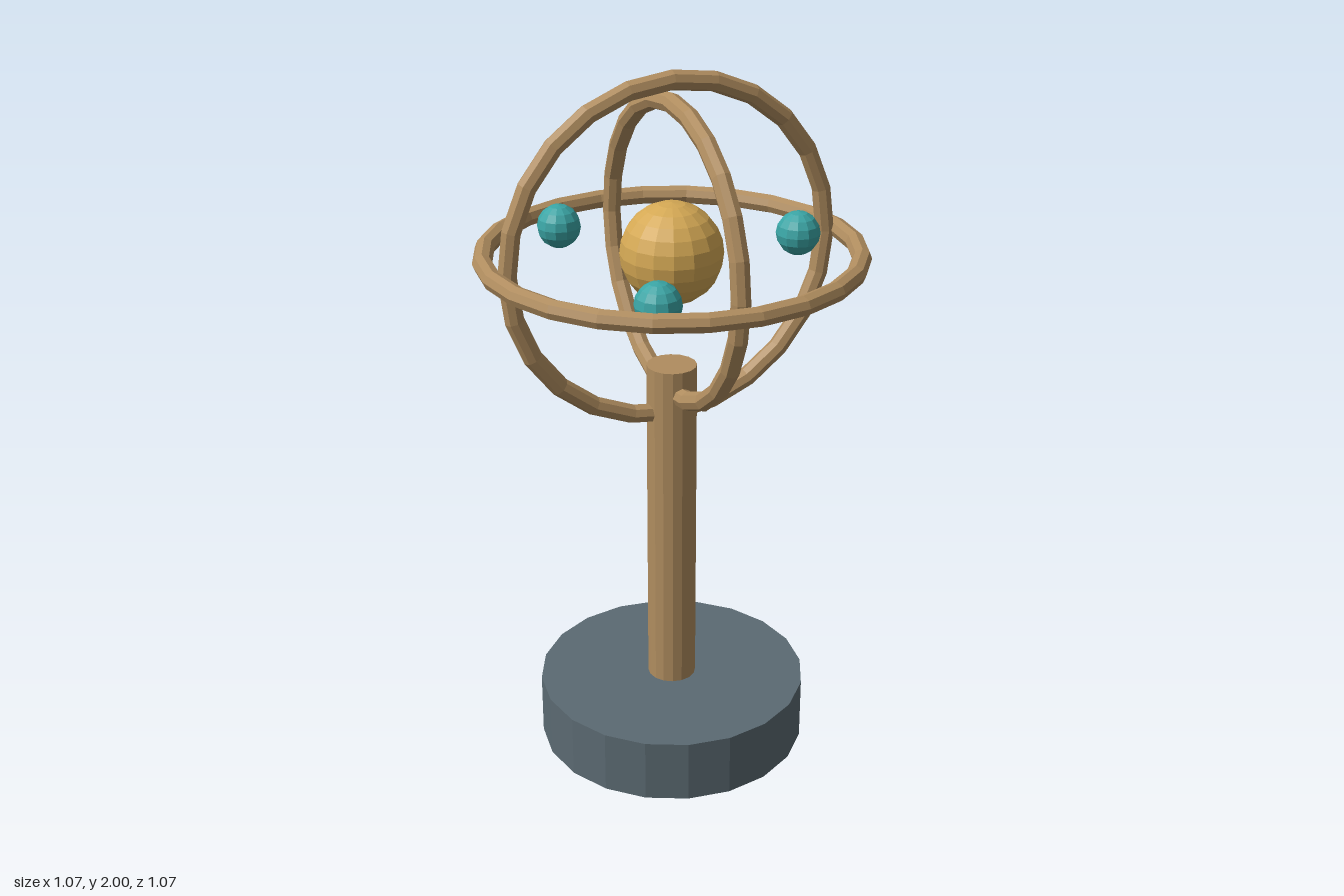
import * as THREE from 'three';

const flat = (name, color) => {
  const m = new THREE.MeshStandardMaterial({ color, flatShading: true });
  m.name = name;
  return m;
};

export function createModel() {
  const group = new THREE.Group();
  const brass = flat('brass', 0xb08d5f);
  const gold = flat('gold', 0xd4a854);
  const teal = flat('teal', 0x3aa5a5);
  const slate = flat('slate', 0x5b6a72);
  const centreY = 1.505;

  const add = (name, geometry, material, x = 0, y = 0, z = 0) => {
    const mesh = new THREE.Mesh(geometry, material);
    mesh.name = name;
    mesh.position.set(x, y, z);
    group.add(mesh);
    return mesh;
  };

  // Stand
  add('base', new THREE.CylinderGeometry(0.39, 0.39, 0.185, 20), slate, 0, 0.0925, 0);
  add('column', new THREE.CylinderGeometry(0.07, 0.07, 1.0, 16), brass, 0, 0.68, 0);

  // Three nested rings at right angles
  const ring = (name, radius, rx, ry) =>
    add(name, new THREE.TorusGeometry(radius, 0.027, 8, 24), brass, 0, centreY, 0).rotation.set(rx, ry, 0);
  ring('horizontalRing', 0.507, Math.PI / 2, 0);
  ring('frontRing', 0.468, 0, 0);
  ring('sideRing', 0.408, 0, Math.PI / 2);

  // Central sun and its three planets
  add('sun', new THREE.SphereGeometry(0.141, 16, 12), gold, 0, centreY, 0);
  const planet = new THREE.SphereGeometry(0.062, 12, 8);
  for (let i = 0; i < 3; i++) {
    const a = (i * Math.PI * 2) / 3;
    add('planet' + (i + 1), planet, teal, 0.385 * Math.cos(a), centreY, 0.385 * Math.sin(a));
  }
  return group;
}
